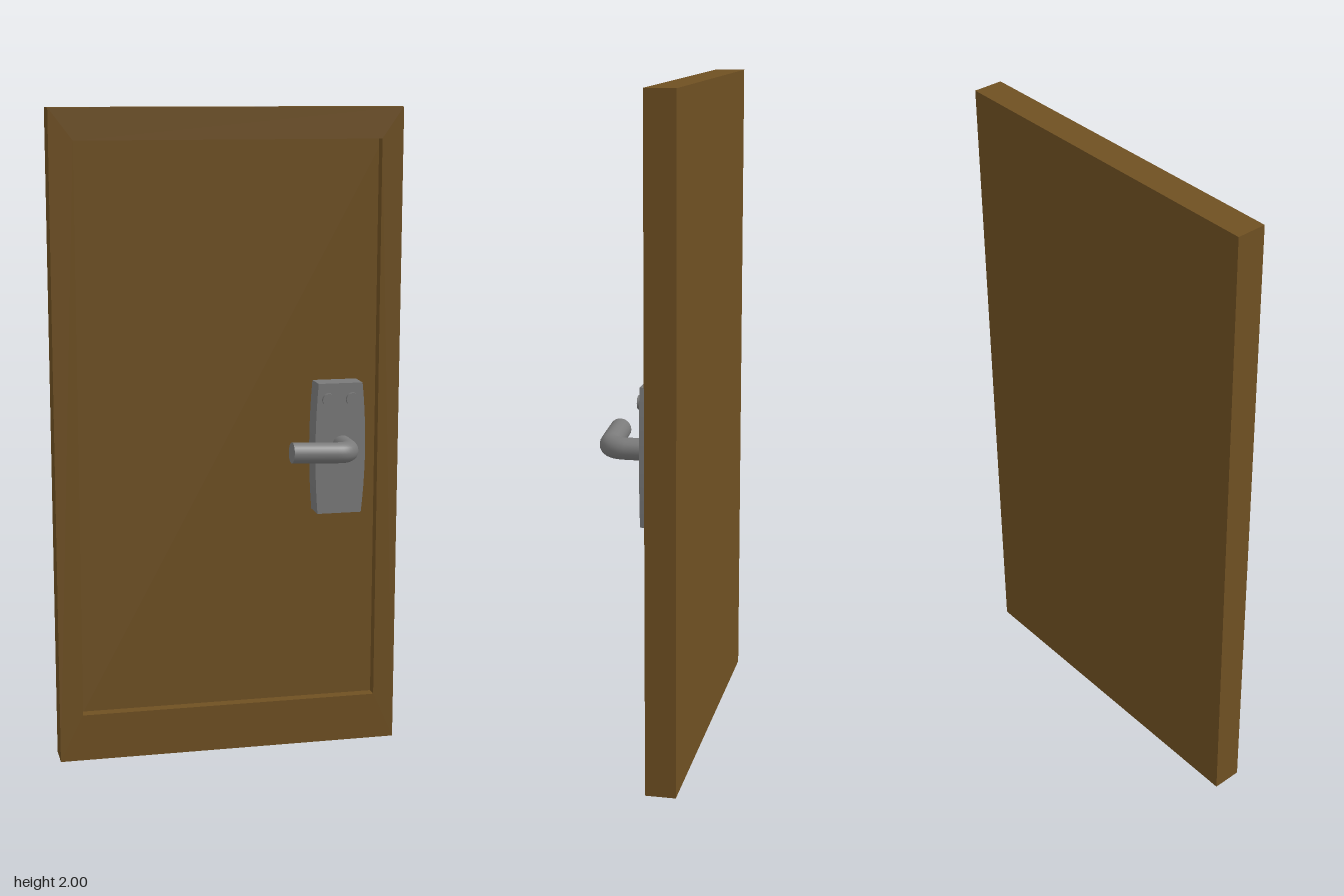
import * as THREE from 'three';

const wood = new THREE.MeshStandardMaterial({ color: 0x6f5022 });
wood.name = 'brown wood';
const metal = new THREE.MeshStandardMaterial({ color: 0x7a7a7a });
metal.name = 'grey metal';

const v = (x, y, z) => new THREE.Vector3(x, y, z);

function add(parent, name, geometry, material, x = 0, y = 0, z = 0) {
  const mesh = new THREE.Mesh(geometry, material);
  mesh.name = name;
  mesh.position.set(x, y, z);
  parent.add(mesh);
  return mesh;
}

export function createModel() {
  const model = new THREE.Group();
  model.name = 'door';
  const W = 0.537, BACK = -0.14, FLOOR = -0.085, FRONT = -0.05;

  // Door slab, whose front is the floor of the recess
  add(model, 'doorSlab', new THREE.BoxGeometry(2 * W, 2, FLOOR - BACK), wood, 0, 1, (BACK + FLOOR) / 2);

  // Raised border around the recessed panel
  const border = new THREE.Shape([[-W, 0], [W, 0], [W, 2], [-W, 2]].map(p => new THREE.Vector2(...p)));
  border.holes.push(new THREE.Path(
    [[-0.465, 0.147], [-0.465, 1.905], [0.471, 1.905], [0.471, 0.147]].map(p => new THREE.Vector2(...p))));
  add(model, 'doorBorder',
    new THREE.ExtrudeGeometry(border, { depth: FRONT - FLOOR, bevelEnabled: false }), wood, 0, 0, FLOOR);

  const lock = new THREE.Group();
  lock.name = 'lockAndHandle';
  model.add(lock);

  // Back plate with gently bowed sides
  const plate = new THREE.Shape();
  plate.moveTo(0.269, 0.762);
  plate.lineTo(0.408, 0.762);
  plate.quadraticCurveTo(0.43, 0.966, 0.408, 1.17);
  plate.lineTo(0.269, 1.17);
  plate.quadraticCurveTo(0.252, 0.966, 0.269, 0.762);
  add(lock, 'backPlate',
    new THREE.ExtrudeGeometry(plate, { depth: 0.076, bevelEnabled: false, curveSegments: 10 }), metal, 0, 0, FLOOR);

  // Two round buttons near the top of the plate
  for (const x of [0.3, 0.375]) {
    add(lock, 'button', new THREE.CylinderGeometry(0.02, 0.02, 0.02, 20).rotateX(Math.PI / 2), metal, x, 1.12, -0.008);
  }

  // Lever: straight stem, rounded elbow, then a grip towards the middle of the door
  const R = 0.032, end = v(0.157, 0.984, 0.105);
  const a = v(0.345, 0.975, -0.02), b = v(0.345, 0.975, 0.045);
  const corner = v(0.345, 0.975, 0.098), c = v(0.297, 0.977, 0.1);
  const path = new THREE.CurvePath();
  path.add(new THREE.LineCurve3(a, b));
  path.add(new THREE.QuadraticBezierCurve3(b, corner, c));
  path.add(new THREE.LineCurve3(c, end));
  add(lock, 'lever', new THREE.TubeGeometry(path, 40, R, 20), metal);

  // Flat end of the lever
  const cap = add(lock, 'leverEnd', new THREE.CircleGeometry(R, 20), metal, end.x, end.y, end.z);
  cap.quaternion.setFromUnitVectors(v(0, 0, 1), end.clone().sub(c).normalize());

  return model;
}
